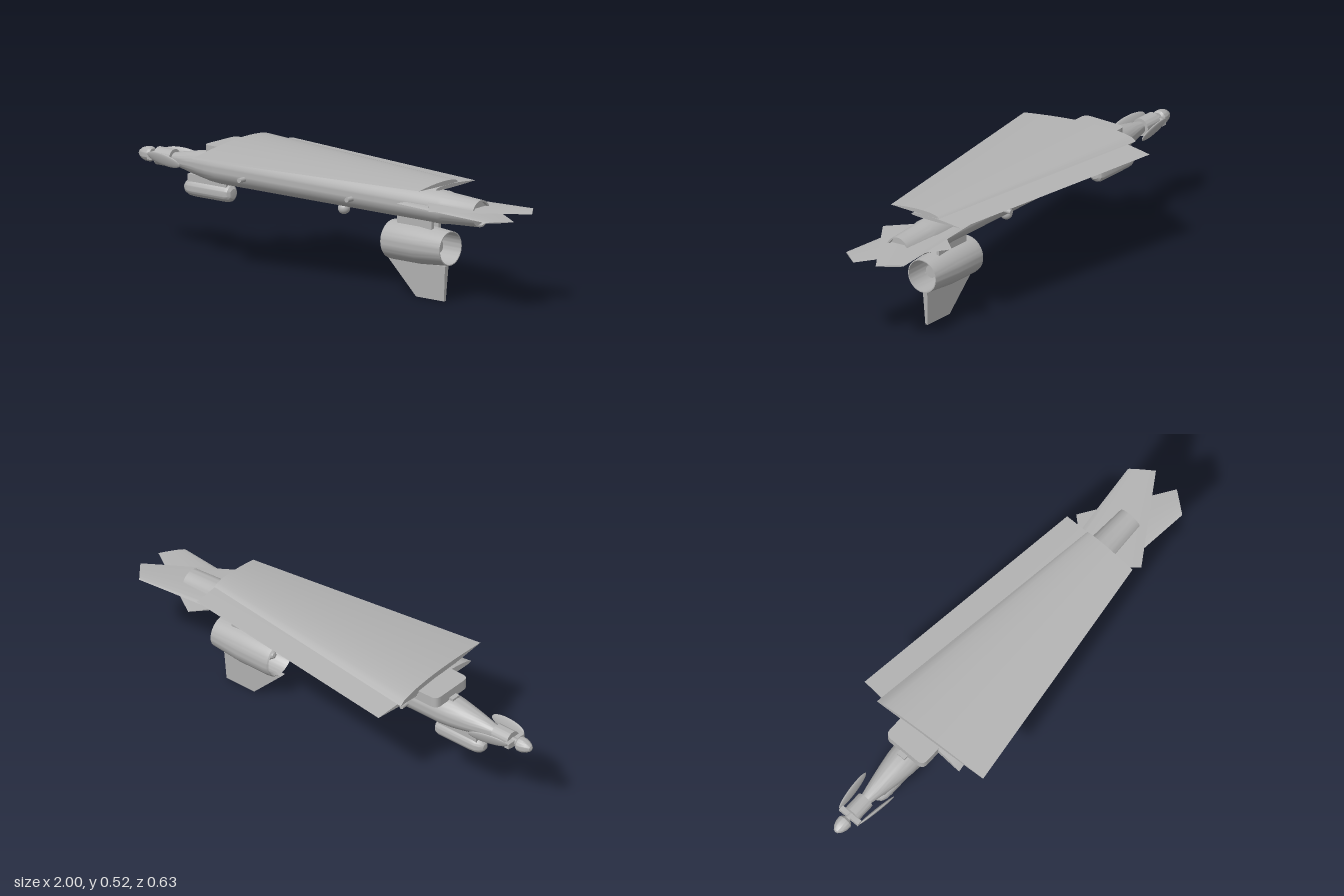
import * as THREE from 'three';
import { toCreasedNormals } from 'three/addons/utils/BufferGeometryUtils.js';

const BODY_Y = 0.386;
const DUCT_Y = 0.22;

export function createModel() {
  const grey = new THREE.MeshStandardMaterial({ color: 0xb3b3b3 });
  grey.name = 'plain grey';
  const model = new THREE.Group();

  const add = (name, geometry, x = 0, y = 0, z = 0) => {
    const mesh = new THREE.Mesh(geometry, grey);
    mesh.name = name;
    mesh.position.set(x, y, z);
    model.add(mesh);
    return mesh;
  };
  // Turned part lying along x, profile given as [x, radius]
  const turned = (profile, sides = 48) => toCreasedNormals(
    new THREE.LatheGeometry(profile.map(([x, r]) => new THREE.Vector2(r, x)), sides)
      .rotateZ(-Math.PI / 2), 0.5);
  const box = (w, h, d) => new THREE.BoxGeometry(w, h, d);

  // Lofted panel with an aerofoil section; root and tip are { le, te, y, up, down }
  function panel(root, tip, mirror) {
    const n = 16;
    const section = (s) => {
      const loop = [];
      for (let i = 0; i < 2 * n; i++) {
        const top = i <= n;
        const f = top ? i / n : 2 - i / n;
        const t = f * f * (3 - 2 * f) * 0.5 + f * 0.5;
        const bulge = 2.6 * Math.sqrt(t) * (1 - t);
        const z = s.le[1] + (s.te[1] - s.le[1]) * t;
        loop.push([
          s.le[0] + (s.te[0] - s.le[0]) * t,
          s.y + bulge * (top ? s.up : -s.down),
          mirror ? -z : z,
        ]);
      }
      return loop;
    };
    const a = section(root), b = section(tip), out = [];
    const tri = (p, q, r) => out.push(...p, ...(mirror ? r : q), ...(mirror ? q : r));
    for (let i = 0; i < 2 * n; i++) {
      const j = (i + 1) % (2 * n);
      tri(a[i], a[j], b[i]);
      tri(a[j], b[j], b[i]);
      if (i > 0 && j > 0) {
        tri(b[0], b[i], b[j]);
        tri(a[0], a[j], a[i]);
      }
    }
    const g = new THREE.BufferGeometry();
    g.setAttribute('position', new THREE.Float32BufferAttribute(out, 3));
    return toCreasedNormals(g, 0.6);
  }

  // Fuselage with a tapered nose and a recessed tail face
  add('fuselage', turned([
    [-0.815, 0], [-0.815, 0.025], [-0.77, 0.035], [-0.72, 0.045], [-0.66, 0.056],
    [-0.61, 0.064], [-0.56, 0.068], [0.6, 0.068], [0.62, 0.064], [0.78, 0.055],
    [0.78, 0.048], [0.765, 0.048], [0.765, 0],
  ]), 0, BODY_Y);

  // Folding nose propeller
  add('noseMotor', turned([[-0.9, 0], [-0.9, 0.037], [-0.817, 0.037], [-0.817, 0]]), 0, BODY_Y);
  add('propellerShaft', turned([[-0.94, 0.014], [-0.895, 0.014]], 20), 0, BODY_Y);
  add('spinner', turned([
    [-1, 0], [-0.995, 0.012], [-0.98, 0.023], [-0.96, 0.03], [-0.94, 0.031],
    [-0.93, 0.024], [-0.93, 0],
  ]), 0, BODY_Y);
  add('bladeHinge', box(0.022, 0.022, 0.1), -0.908, BODY_Y);
  for (const s of [-1, 1]) {
    const blade = add('foldedBlade', new THREE.SphereGeometry(1, 24, 16), -0.822, 0.39, s * 0.064);
    blade.scale.set(0.095, 0.027, 0.007);
    blade.rotation.set(s * 0.3, -s * 0.14, -0.05);
  }

  // Sensor pod under the nose
  add('sensorPod', turned([
    [-0.76, 0], [-0.757, 0.014], [-0.745, 0.027], [-0.725, 0.035], [-0.7, 0.037],
    [-0.535, 0.037], [-0.52, 0.032], [-0.511, 0.02], [-0.509, 0],
  ]), 0, 0.283);
  add('podMount', box(0.2, 0.05, 0.05), -0.63, 0.315);

  // Wing mount on top of the fuselage: rounded block and lower plate
  const rounded = (x0, x1, half, height) => {
    const r = 0.03, s = new THREE.Shape();
    s.moveTo(x1, -half);
    s.lineTo(x1, half);
    s.lineTo(x0 + r, half);
    s.quadraticCurveTo(x0, half, x0, half - r);
    s.lineTo(x0, -half + r);
    s.quadraticCurveTo(x0, -half, x0 + r, -half);
    return new THREE.ExtrudeGeometry(s, { depth: height, bevelEnabled: false }).rotateX(-Math.PI / 2);
  };
  add('wingMountBlock', rounded(-0.585, -0.485, 0.1, 0.046), 0, 0.447);
  add('wingMountPlate', rounded(-0.57, -0.36, 0.1, 0.014), 0, 0.447);
  add('mountLatch', box(0.04, 0.03, 0.04), -0.585, 0.444);

  // Stowed main wings, crossed one above the other
  add('upperWing', panel(
    { le: [-0.5, -0.22], te: [-0.465, 0.317], y: 0.487, up: 0.029, down: 0.003 },
    { le: [0.6, -0.07], te: [0.6, 0.172], y: 0.481, up: 0.016, down: 0.002 }, false));
  add('lowerWing', panel(
    { le: [-0.5, -0.22], te: [-0.465, 0.317], y: 0.467, up: 0.022, down: 0.01 },
    { le: [0.6, -0.07], te: [0.6, 0.178], y: 0.467, up: 0.012, down: 0.004 }, true));

  // Stowed tail fins, crossed through the rear fuselage
  for (const [name, y, mirror] of [['upperTailFin', 0.404, false], ['lowerTailFin', 0.392, true]]) {
    add(name, panel(
      { le: [0.42, -0.095], te: [0.65, 0.174], y, up: 0.008, down: 0.004 },
      { le: [0.93, -0.145], te: [0.998, -0.056], y, up: 0.004, down: 0.002 }, mirror));
  }

  // Side launch pegs and belly dome
  for (const x of [-0.4, 0.16]) {
    for (const s of [-1, 1]) {
      add('sidePeg', new THREE.CylinderGeometry(0.01, 0.01, 0.04, 20).rotateX(Math.PI / 2), x, 0.37, s * 0.079);
    }
  }
  add('bellyDome', new THREE.SphereGeometry(0.025, 24, 16), 0.065, 0.308);

  // Ducted thruster
  add('duct', turned([
    [0.315, 0.074], [0.32, 0.079], [0.34, 0.081], [0.48, 0.081], [0.62, 0.07],
    [0.62, 0.066], [0.48, 0.068], [0.33, 0.067], [0.315, 0.074],
  ], 64), 0, DUCT_Y);
  add('thrusterHub', turned([
    [0.34, 0], [0.345, 0.012], [0.36, 0.022], [0.39, 0.027], [0.56, 0.026], [0.56, 0],
  ]), 0, DUCT_Y);
  for (let i = 0; i < 3; i++) {
    const spoke = add('thrusterSpoke', box(0.05, 0.05, 0.005).translate(0, 0.046, 0), 0.5, DUCT_Y);
    spoke.rotation.x = i * Math.PI * 2 / 3;
  }
  for (const s of [-1, 1]) {
    add('ductBracket', box(0.18, 0.045, 0.014), 0.455, 0.308, s * 0.022);
  }

  // Keel fin below the duct, thinner towards the bottom
  const finShape = new THREE.Shape([[0.3, 0.145], [0.445, 0], [0.59, 0], [0.6, 0.145]]
    .map(([x, y]) => new THREE.Vector2(x, y)));
  const fin = new THREE.ExtrudeGeometry(finShape, { depth: 2, bevelEnabled: false }).translate(0, 0, -1);
  const p = fin.attributes.position;
  for (let i = 0; i < p.count; i++) p.setZ(i, p.getZ(i) * (0.006 + 0.035 * p.getY(i)));
  fin.computeVertexNormals();
  add('keelFin', fin);

  return model;
}
